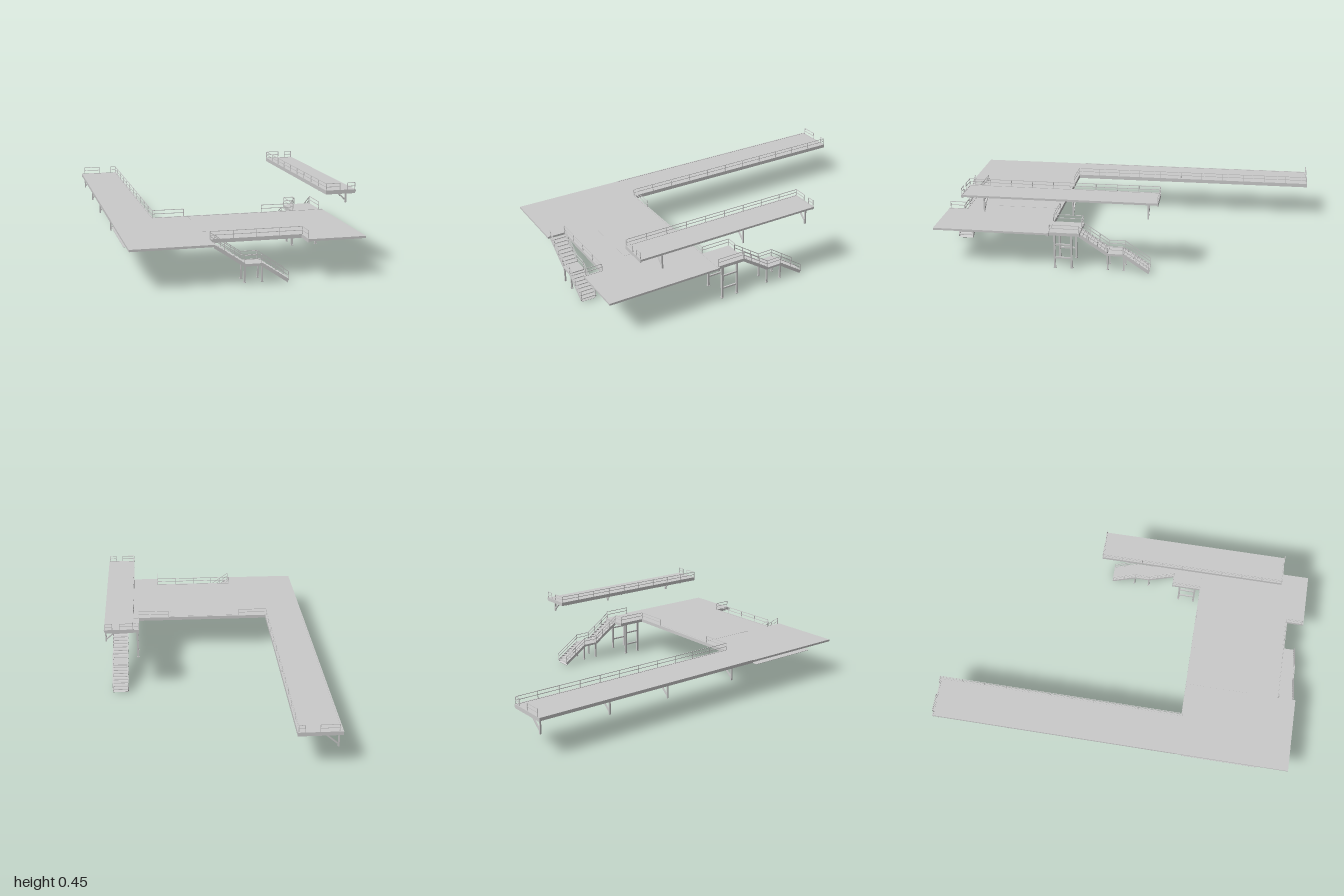
import * as THREE from 'three';

const material = new THREE.MeshStandardMaterial({ color: 0xcccccc, flatShading: true, side: THREE.DoubleSide });
const V = (x, y, z) => new THREE.Vector3(x, y, z);

function group(name, parent) {
  const g = new THREE.Group();
  g.name = name;
  parent.add(g);
  return g;
}

// Box given by its lowest and highest corner
function block(parent, name, x0, y0, z0, x1, y1, z1) {
  const m = new THREE.Mesh(new THREE.BoxGeometry(x1 - x0, y1 - y0, z1 - z0), material);
  m.position.set((x0 + x1) / 2, (y0 + y1) / 2, (z0 + z1) / 2);
  m.name = name;
  parent.add(m);
  return m;
}

// Rectangular bar between two points: w wide, h deep
function bar(parent, name, a, b, w, h = w) {
  const m = new THREE.Mesh(new THREE.BoxGeometry(w, h, a.distanceTo(b)), material);
  m.position.copy(a).lerp(b, 0.5);
  m.lookAt(b);
  m.name = name;
  parent.add(m);
  return m;
}

// Guard rail along a path: posts, top rail, middle rail
function railing(parent, name, points, height = 0.042, spacing = 0.12) {
  const g = group(name, parent);
  for (let i = 0; i < points.length - 1; i++) {
    const a = points[i], b = points[i + 1];
    for (const f of [0.55, 1]) {
      const up = V(0, height * f, 0);
      bar(g, f === 1 ? 'topRail' : 'middleRail', a.clone().add(up), b.clone().add(up), 0.003);
    }
    const n = Math.max(1, Math.round(a.distanceTo(b) / spacing));
    for (let k = i ? 1 : 0; k <= n; k++) {
      const p = a.clone().lerp(b, k / n);
      block(g, 'railPost', p.x - 0.0015, p.y, p.z - 0.0015, p.x + 0.0015, p.y + height, p.z + 0.0015);
    }
  }
  return g;
}

// Two flights with a landing between; runs along +x, width along +z
function staircase(parent, name, width) {
  const g = group(name, parent);
  const flights = [[0, 0.2, 0.15, 0.098], [0.235, 0.098, 0.37, 0.006]];
  for (const [x0, y0, x1, y1] of flights) {
    const steps = 8, dx = (x1 - x0) / steps, dy = (y0 - y1) / steps;
    for (let i = 0; i < steps; i++) {
      const x = x0 + i * dx, y = y0 - (i + 0.5) * dy;
      block(g, 'tread', x, y - 0.004, 0.004, x + dx + 0.003, y, width - 0.004);
    }
    bar(g, 'flightSoffit', V(x0, y0 - 0.014, width / 2), V(x1, y1 - 0.014, width / 2), width - 0.006, 0.002);
    for (const z of [0.002, width - 0.002])
      bar(g, 'stringer', V(x0, y0 - 0.006, z), V(x1, y1 - 0.004, z), 0.004, 0.016);
  }
  block(g, 'landing', 0.147, 0.086, 0, 0.238, 0.098, width);
  for (const x of [0.152, 0.238])
    for (const z of [0.007, width - 0.007]) {
      block(g, 'landingLeg', x - 0.004, 0.006, z - 0.004, x + 0.004, 0.088, z + 0.004);
      block(g, 'footPlate', x - 0.006, 0.004, z - 0.006, x + 0.006, 0.008, z + 0.006);
    }
  for (const z of [0.002, width - 0.002])
    railing(g, 'stairRailing', [V(0, 0.2, z), V(0.15, 0.098, z), V(0.235, 0.098, z), V(0.37, 0.006, z)], 0.042, 0.07);
  return g;
}

// Wall bracket: hanger at xWall, arm to xEnd, diagonal strut
function bracket(parent, xWall, xEnd, yTop, z) {
  const g = group('bracket', parent);
  const s = Math.sign(xEnd - xWall);
  bar(g, 'hanger', V(xWall, yTop, z), V(xWall, yTop - 0.075, z), 0.008);
  bar(g, 'crossBeam', V(xWall, yTop - 0.004, z), V(xEnd, yTop - 0.004, z), 0.008);
  bar(g, 'strut', V(xWall, yTop - 0.062, z), V(xWall + s * 0.065, yTop - 0.006, z), 0.007);
}

export function createModel() {
  const model = new THREE.Group();
  model.name = 'steelPlatforms';

  // U-shaped main deck with long arm and stair notch
  const outline = [[-0.59, -1], [-0.365, -1], [-0.365, 0.38], [0.58, 0.38], [0.58, 1],
    [0.285, 1], [0.285, 0.9], [-0.18, 0.9], [-0.18, 1], [-0.59, 1]];
  const shape = new THREE.Shape(outline.map(([x, z]) => new THREE.Vector2(x, -z)));
  const deckGeometry = new THREE.ExtrudeGeometry(shape, { depth: 0.011, bevelEnabled: false });
  deckGeometry.rotateX(-Math.PI / 2);
  const deck = new THREE.Mesh(deckGeometry, material);
  deck.position.y = 0.194;
  deck.name = 'mainDeck';
  model.add(deck);
  block(model, 'deckPanel', -0.18, 0.193, 0.395, 0.215, 0.206, 0.74);

  // Edge beams below the deck
  const beams = group('edgeBeams', model);
  block(beams, 'armInnerBeam', -0.372, 0.186, -1, -0.364, 0.207, 0.38);
  block(beams, 'armOuterBeam', -0.59, 0.19, -1, -0.583, 0.207, 0.38);
  block(beams, 'armEndBeam', -0.59, 0.186, -1, -0.365, 0.207, -0.993);
  block(beams, 'backBeam', -0.37, 0.188, 0.378, 0.58, 0.207, 0.386);
  block(beams, 'notchBeam', -0.18, 0.188, 0.895, 0.285, 0.207, 0.902);
  block(beams, 'notchSideBeam', 0.283, 0.188, 0.9, 0.29, 0.207, 1);

  // Arm brackets
  for (const z of [-0.985, -0.58, -0.21, 0.24]) bracket(model, -0.57, -0.375, 0.19, z);

  // Suspended ceiling below the deck with small hatches
  const ceiling = group('lowerCeiling', model);
  block(ceiling, 'ceilingPanel', -0.59, 0.174, 0.41, -0.18, 0.176, 0.83);
  for (const [x, z] of [[-0.3, 0.5], [-0.3, 0.68], [-0.46, 0.6]])
    block(ceiling, 'hatch', x - 0.025, 0.171, z - 0.02, x + 0.025, 0.174, z + 0.02);

  // Main deck railings
  const y = 0.204;
  railing(model, 'armRailing', [V(-0.40, y, -0.996), V(-0.369, y, -0.996), V(-0.369, y, 0.383), V(-0.2, y, 0.383)]);
  railing(model, 'armEndRailing', [V(-0.57, y, -0.996), V(-0.475, y, -0.996)]);
  railing(model, 'notchRailing', [V(-0.18, y, 0.9), V(0.287, y, 0.9), V(0.287, y, 0.99)]);

  // Back stair platform on braced legs
  const platform = group('stairPlatform', model);
  block(platform, 'platformDeck', 0.408, 0.188, 0.215, 0.565, 0.205, 0.38);
  for (const x of [0.418, 0.556]) {
    for (const z of [0.26, 0.35]) {
      block(platform, 'leg', x - 0.005, 0.004, z - 0.005, x + 0.005, 0.19, z + 0.005);
      block(platform, 'footPlate', x - 0.007, 0.002, z - 0.007, x + 0.007, 0.006, z + 0.007);
    }
    for (const by of [0.06, 0.135]) block(platform, 'legBrace', x - 0.004, by - 0.004, 0.26, x + 0.004, by + 0.004, 0.35);
  }
  railing(platform, 'platformRailing', [V(0.23, y, 0.383), V(0.41, y, 0.383), V(0.41, y, 0.218), V(0.465, y, 0.218)]);
  railing(platform, 'platformSideRailing', [V(0.561, y, 0.375), V(0.561, y, 0.218)]);

  // Front and back staircases
  const frontStairs = staircase(model, 'frontStairs', 0.085);
  frontStairs.position.set(-0.18, 0, 0.902);
  const backStairs = staircase(model, 'backStairs', 0.09);
  backStairs.rotation.y = Math.PI / 2;
  backStairs.position.set(0.47, 0, 0.22);
  for (const s of [frontStairs, backStairs]) s.position.y = -0.001;

  // Upper walkway
  const upper = group('upperWalkway', model);
  block(upper, 'walkwayDeck', 0.43, 0.391, -0.2, 0.59, 0.402, 0.83);
  block(upper, 'innerBeam', 0.43, 0.384, -0.2, 0.437, 0.404, 0.83);
  for (const z of [-0.2, 0.823]) block(upper, 'endBeam', 0.43, 0.384, z, 0.585, 0.404, z + 0.007);
  for (const z of [-0.15, 0.24, 0.71]) bracket(upper, 0.582, 0.435, 0.388, z);
  railing(upper, 'walkwayRailing', [V(0.505, 0.4, -0.197), V(0.433, 0.4, -0.197), V(0.433, 0.4, 0.827), V(0.505, 0.4, 0.827)], 0.038);
  for (const z of [-0.197, 0.827])
    railing(upper, 'walkwayEndRailing', [V(0.545, 0.4, z), V(0.584, 0.4, z)], 0.038);

  return model;
}
